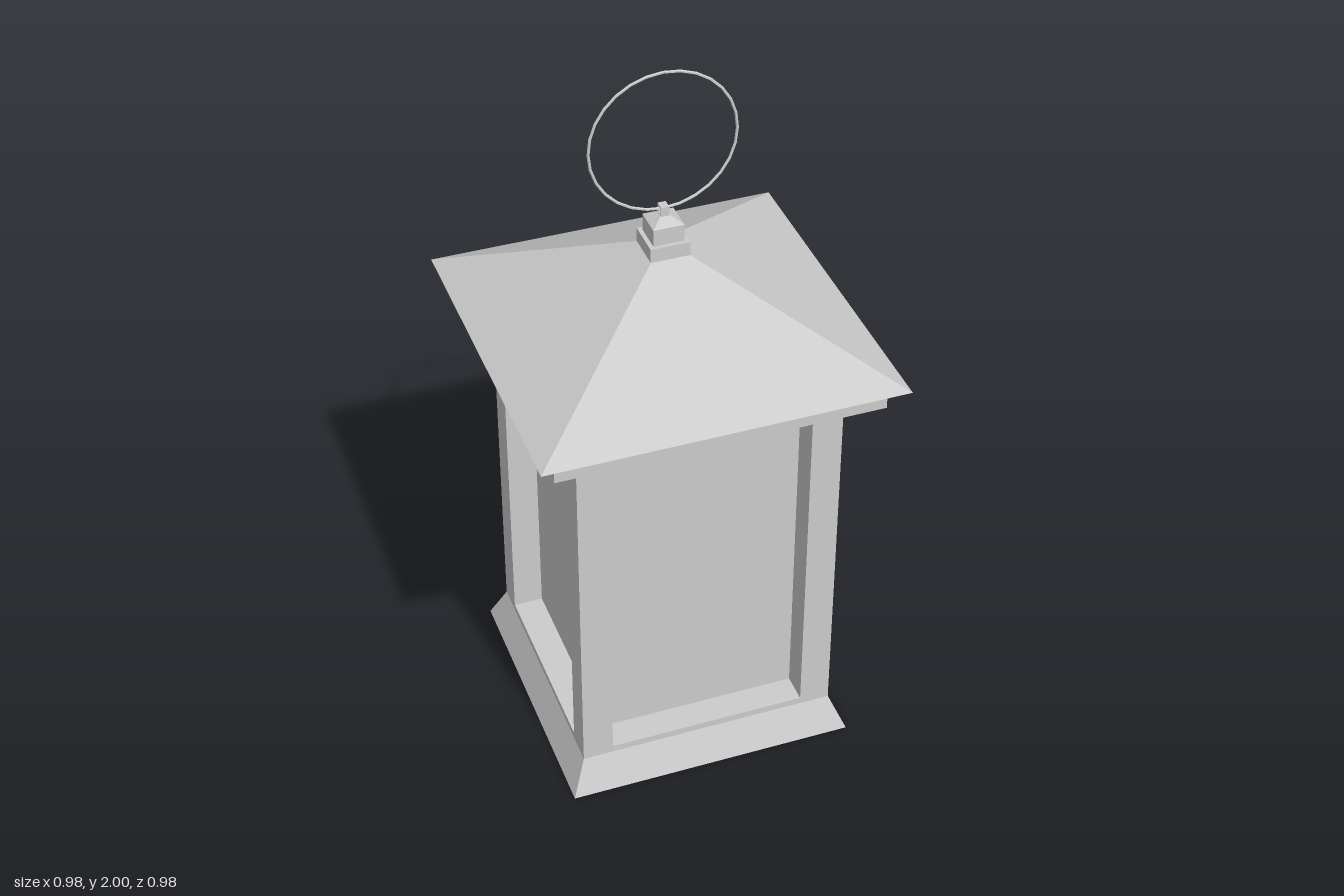
import * as THREE from 'three';

const material = new THREE.MeshStandardMaterial({ color: 0xcccccc, flatShading: true });

function add(group, name, geometry, x = 0, y = 0, z = 0) {
  const mesh = new THREE.Mesh(geometry, material);
  mesh.name = name;
  mesh.position.set(x, y, z);
  group.add(mesh);
  return mesh;
}

// Square turned solid: profile of [half width, height] from bottom to top
function squareLathe(profile) {
  const points = profile.map(([half, y]) => new THREE.Vector2(half * Math.SQRT2, y));
  return new THREE.LatheGeometry(points, 4, Math.PI / 4);
}

export function createModel() {
  const lantern = new THREE.Group();
  lantern.name = 'lantern';

  // Flared base with a short flush sill
  add(lantern, 'base', squareLathe([[0, 0], [0.405, 0], [0.363, 0.1], [0.363, 0.12], [0, 0.12]]));

  // Recessed panes and corner posts
  add(lantern, 'panes', new THREE.BoxGeometry(0.56, 1.0, 0.56), 0, 0.62, 0);
  for (const sx of [-1, 1]) {
    for (const sz of [-1, 1]) {
      add(lantern, 'cornerPost', new THREE.BoxGeometry(0.085, 1.0, 0.085), sx * 0.3205, 0.62, sz * 0.3205);
    }
  }

  // Stepped cornice
  add(lantern, 'lowerCornice', new THREE.BoxGeometry(0.75, 0.05, 0.75), 0, 1.145, 0);
  add(lantern, 'upperCornice', new THREE.BoxGeometry(0.89, 0.07, 0.89), 0, 1.205, 0);

  // Hipped roof
  add(lantern, 'roof', squareLathe([[0, 1.24], [0.492, 1.24], [0.053, 1.48], [0, 1.48]]));

  // Finial block with a shallow pyramid cap
  add(lantern, 'finialCollar', new THREE.BoxGeometry(0.107, 0.04, 0.107), 0, 1.5, 0);
  add(lantern, 'finialCap', squareLathe([[0, 1.52], [0.042, 1.52], [0.042, 1.568], [0.012, 1.587], [0, 1.587]]));

  // Square eyelet, open along x
  const eye = new THREE.Shape([[-1, -1], [1, -1], [1, 1], [-1, 1]].map(([a, b]) => new THREE.Vector2(a * 0.014, b * 0.014)));
  eye.holes.push(new THREE.Path([[-1, -1], [-1, 1], [1, 1], [1, -1]].map(([a, b]) => new THREE.Vector2(a * 0.009, b * 0.009))));
  const eyeGeometry = new THREE.ExtrudeGeometry(eye, { depth: 0.022, bevelEnabled: false });
  eyeGeometry.translate(0, 0, -0.011).rotateY(Math.PI / 2);
  add(lantern, 'eyelet', eyeGeometry, 0, 1.598, 0);

  // Carrying ring
  add(lantern, 'carryingRing', new THREE.TorusGeometry(0.197, 0.004, 6, 28), 0, 1.799, 0);

  return lantern;
}
